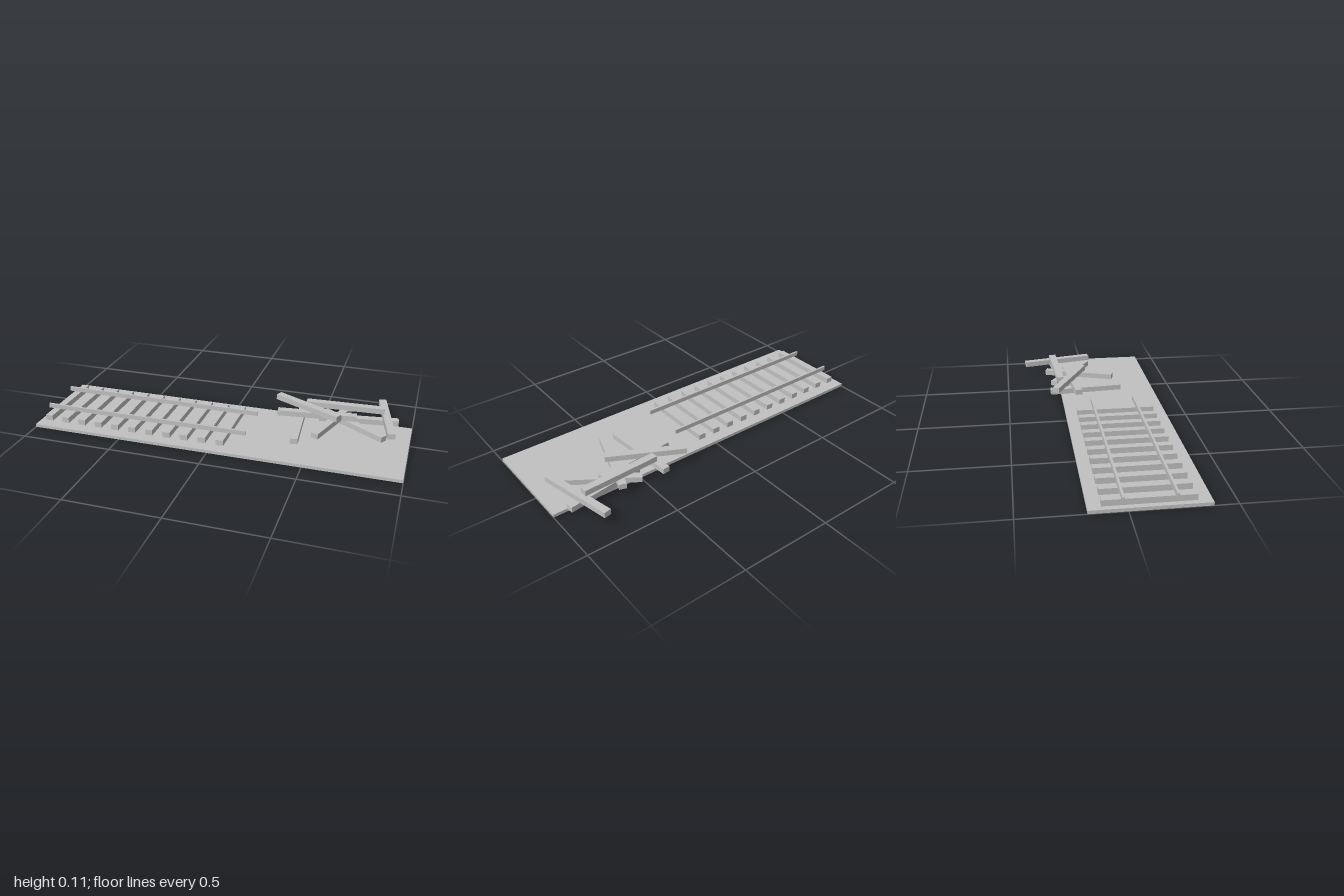
import * as THREE from 'three';

export function createModel() {
  const model = new THREE.Group();
  model.name = 'brokenTrack';
  const grey = new THREE.MeshStandardMaterial({ color: 0xc0c0c0 });
  grey.name = 'plain grey';

  const box = (name, w, h, d, x, bottom, z, parent = model) => {
    const mesh = new THREE.Mesh(new THREE.BoxGeometry(w, h, d), grey);
    mesh.name = name;
    mesh.position.set(x, bottom + h / 2, z);
    parent.add(mesh);
    return mesh;
  };

  // Ground slab
  const slabTop = 0.017, beamH = 0.0305, beamW = 0.041;
  box('groundSlab', 2, slabTop, 0.566, 0, 0, 0.101);

  // Sleepers, evenly spaced
  const sleepers = new THREE.Group();
  sleepers.name = 'sleepers';
  model.add(sleepers);
  for (let i = 0; i < 11; i++) {
    box('sleeper', beamW, beamH, 0.436, -0.951 + i * 0.1, slabTop, 0.099, sleepers);
  }

  // Two rails running past the last sleeper
  for (const z of [-0.024, 0.221]) {
    box('rail', 1.162, 0.025, 0.012, -0.419, slabTop + beamH, z);
  }

  // Loose sleepers in a heap: layer, then the centre line from (x, z) to (x, z)
  const pile = new THREE.Group();
  pile.name = 'sleeperPile';
  model.add(pile);
  const loose = [
    [0, 0.382, -0.245, 0.417, 0.185],
    [0, 0.512, -0.217, 0.866, 0.019],
    [0, 0.492, -0.142, 0.923, -0.203],
    [1, 0.650, -0.254, 0.518, 0.149],
    [1, 0.267, -0.083, 0.700, -0.130],
    [1, 0.814, -0.379, 0.906, 0.040],
    [2, 0.238, -0.224, 0.616, -0.030],
    [2, 0.410, -0.183, 0.842, -0.203],
  ];
  for (const [layer, x1, z1, x2, z2] of loose) {
    const dx = x2 - x1, dz = z2 - z1;
    const beam = box('looseSleeper', Math.hypot(dx, dz), beamH, beamW,
      (x1 + x2) / 2, slabTop + layer * beamH, (z1 + z2) / 2, pile);
    beam.rotation.y = -Math.atan2(dz, dx);
  }
  return model;
}
